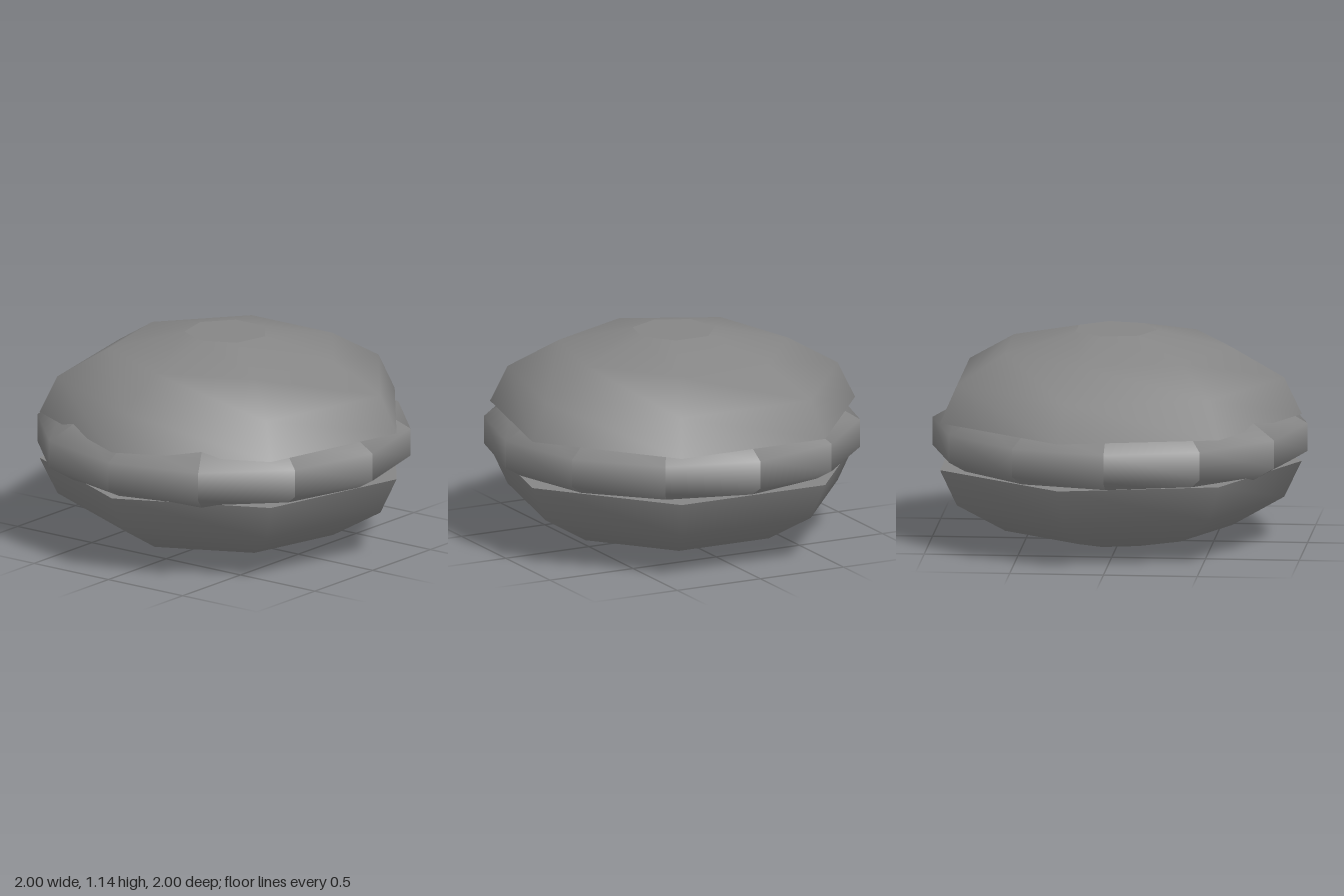
import * as THREE from 'three';
import { mergeGeometries } from 'three/addons/utils/BufferGeometryUtils.js';

const material = new THREE.MeshStandardMaterial({ color: 0x868686 });
const SHELL_SIDES = 7;
const RING_SIDES = 12;
const MID_Y = 0.571;

// Revolve [radius, y] pairs, listed from bottom to top of the outside
function revolve(pairs, sides, start = 0, sweep = Math.PI * 2) {
  const points = pairs.map(([r, y]) => new THREE.Vector2(r, y));
  const geometry = new THREE.LatheGeometry(points, sides, start, sweep);
  geometry.normalizeNormals();
  return geometry;
}

function add(parent, name, geometry) {
  const mesh = new THREE.Mesh(geometry, material);
  mesh.name = name;
  parent.add(mesh);
}

// One domed shell; side is 1 for the upper, -1 for the lower
function makeShell(name, side) {
  const shell = new THREE.Group();
  shell.name = name;
  const place = (pairs) => {
    const placed = pairs.map(([r, h]) => [r, MID_Y + side * h]);
    return revolve(side > 0 ? placed : placed.reverse(), SHELL_SIDES);
  };
  // Smooth dome, flat crown and flat face towards the filling, in one mesh
  add(shell, name + 'Surface', mergeGeometries([
    place([[0.995, 0.127], [0.9, 0.323], [0.625, 0.48], [0.225, 0.569]]),
    place([[0.225, 0.569], [0, 0.569]]),
    place([[0, 0.127], [0.995, 0.127]]),
  ]));
  shell.position.z = -0.025;
  return shell;
}

// Twelve-sided bevelled band, smooth up its profile and creased between sides
function makeFilling() {
  const filling = new THREE.Group();
  filling.name = 'filling';
  const profile = [[0.85, 0.41], [1, 0.498], [1, 0.648], [0.85, 0.735]];
  const step = (Math.PI * 2) / RING_SIDES;
  const sides = [];
  for (let i = 0; i < RING_SIDES; i++) {
    const side = revolve(profile, 1, i * step, step);
    side.computeVertexNormals();
    sides.push(side);
  }
  add(filling, 'fillingBand', mergeGeometries(sides));
  return filling;
}

export function createModel() {
  const model = new THREE.Group();
  model.name = 'sandwichBiscuit';
  model.add(makeShell('topShell', 1), makeFilling(), makeShell('bottomShell', -1));
  return model;
}
